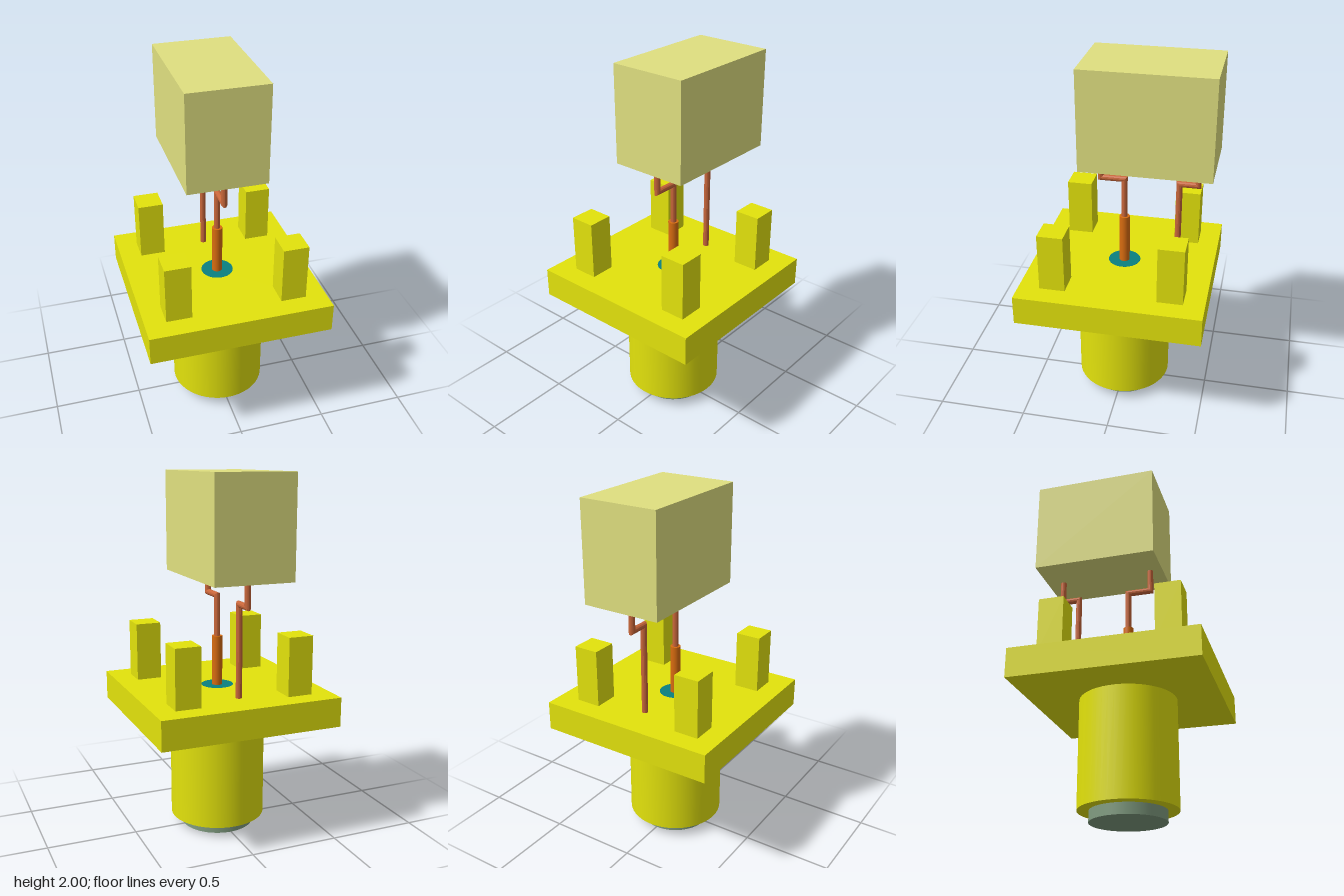
import * as THREE from 'three';

const mat = (color, flatShading = false) => new THREE.MeshStandardMaterial({ color, flatShading });

export function createModel() {
  const model = new THREE.Group();
  model.name = 'coaxialConnector';

  const yellow = mat(0xe3e30c);
  const copper = mat(0xc8663a, true);

  const add = (name, geometry, material, x = 0, y = 0, z = 0) => {
    const mesh = new THREE.Mesh(geometry, material);
    mesh.name = name;
    mesh.position.set(x, y, z);
    model.add(mesh);
    return mesh;
  };

  // Upright cylinder between two heights
  const cylinder = (name, r, y0, y1, material, sides = 48) =>
    add(name, new THREE.CylinderGeometry(r, r, y1 - y0, sides), material, 0, (y0 + y1) / 2, 0);

  // Threaded barrel and the dielectric showing at its open end
  cylinder('barrel', 0.267, 0.06, 0.657, yellow);
  cylinder('barrelInsert', 0.205, 0, 0.06, mat(0x809c80));

  // Square flange with a bore through the middle
  const w = 0.507, bore = 0.09;
  const plate = new THREE.Shape([
    new THREE.Vector2(-w, -w), new THREE.Vector2(w, -w),
    new THREE.Vector2(w, w), new THREE.Vector2(-w, w),
  ]);
  plate.holes.push(new THREE.Path().absarc(0, 0, bore, 0, Math.PI * 2, true));
  const flange = new THREE.ExtrudeGeometry(plate, { depth: 0.163, bevelEnabled: false, curveSegments: 32 });
  flange.rotateX(-Math.PI / 2);
  add('flange', flange, yellow, 0, 0.657, 0);
  cylinder('dielectric', bore, 0.657, 0.82, mat(0x0a8080), 32);

  // Four mounting posts
  for (const x of [-0.32, 0.32]) {
    for (const z of [-0.32, 0.32]) {
      add('mountingPost', new THREE.BoxGeometry(0.141, 0.325, 0.141), yellow, x, 0.9825, z);
    }
  }

  // Centre pin
  cylinder('centrePin', 0.029, 0.82, 1.1, mat(0xd96c10), 24);

  // Wire with two mitred right-angle bends, stepping from z0 to z1
  const wire = (name, y0, z0, z1) => {
    const r = 0.017, yBend = 1.327;
    const geometry = new THREE.CylinderGeometry(r, r, 1, 12, 3);
    const nodes = [[y0, z0], [yBend, z0], [yBend, z1], [1.455, z1]];
    const p = geometry.attributes.position;
    for (let i = 0; i < p.count; i++) {
      const k = Math.round((p.getY(i) + 0.5) * 3);
      const dz = p.getZ(i);
      const mitre = k === 1 || k === 2 ? -Math.sign(z1 - z0) * dz : 0;
      p.setY(i, nodes[k][0] + mitre);
      p.setZ(i, nodes[k][1] + dz);
    }
    geometry.computeVertexNormals();
    add(name, geometry, copper);
  };
  wire('signalWire', 1.1, 0, 0.132);
  wire('groundWire', 0.82, -0.3, -0.4);

  // Component block carried by the wires
  add('componentBlock', new THREE.BoxGeometry(0.44, 0.545, 0.7), mat(0xe0e080), 0, 1.7275, -0.145);

  return model;
}
